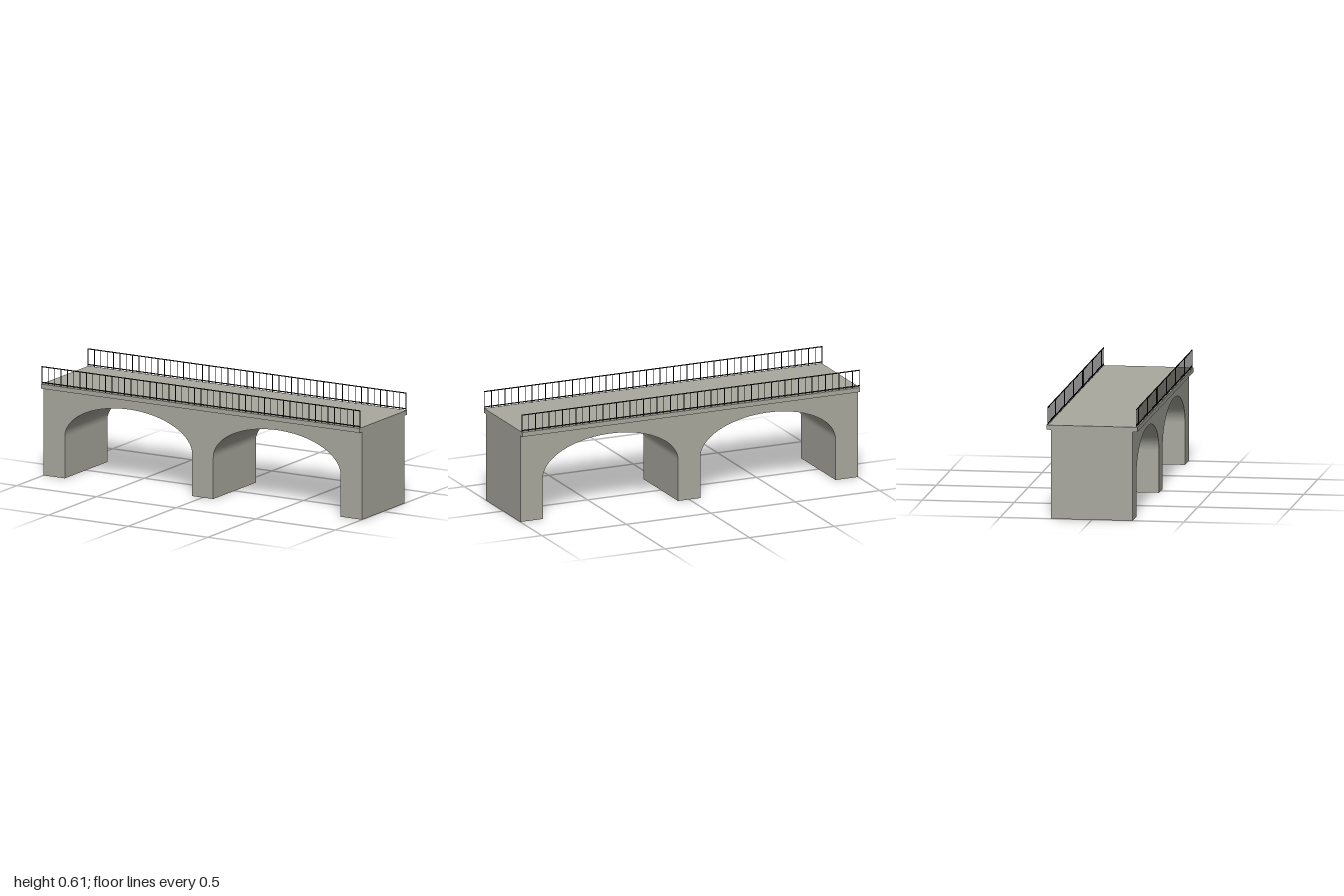
import * as THREE from 'three';

const stone = new THREE.MeshStandardMaterial({ color: 0xaaa99f });
const iron = new THREE.MeshStandardMaterial({ color: 0x1c1c1c });

const BODY_TOP = 0.485, BODY_DEPTH = 0.444;
const DECK_TOP = 0.51, DECK_DEPTH = 0.496;
const SPRING = 0.23, RISE = 0.2, HALF_SPAN = 0.4, ARCH_X = 0.466;

function addBox(parent, name, material, size, position) {
  const mesh = new THREE.Mesh(new THREE.BoxGeometry(...size), material);
  mesh.name = name;
  mesh.position.set(...position);
  parent.add(mesh);
  return mesh;
}

// Wall above one elliptical arch, with the barrel as its underside
function archGeometry() {
  const shape = new THREE.Shape();
  shape.moveTo(HALF_SPAN, SPRING);
  shape.lineTo(HALF_SPAN, BODY_TOP);
  shape.lineTo(-HALF_SPAN, BODY_TOP);
  shape.lineTo(-HALF_SPAN, SPRING);
  shape.absellipse(0, SPRING, HALF_SPAN, RISE, Math.PI, 0, true);
  const geometry = new THREE.ExtrudeGeometry(shape, {
    depth: BODY_DEPTH, bevelEnabled: false, curveSegments: 40,
  });
  return geometry.translate(0, 0, -BODY_DEPTH / 2);
}

// Railing along one edge: two rails and evenly spaced balusters
function createRailing(z) {
  const railing = new THREE.Group();
  railing.name = 'railing';
  const base = DECK_TOP, top = 0.608, count = 51;
  addBox(railing, 'topRail', iron, [2, 0.005, 0.004], [0, top - 0.0025, z]);
  addBox(railing, 'bottomRail', iron, [2, 0.005, 0.004], [0, 0.519, z]);
  for (let i = 0; i < count; i++) {
    const x = -0.998 + (1.996 * i) / (count - 1);
    addBox(railing, 'baluster', iron, [0.003, top - base - 0.002, 0.003], [x, (base + top - 0.002) / 2, z]);
  }
  return railing;
}

export function createModel() {
  const bridge = new THREE.Group();
  bridge.name = 'bridge';

  // End abutments and middle pier
  const inner = ARCH_X - HALF_SPAN, outer = ARCH_X + HALF_SPAN;
  addBox(bridge, 'middlePier', stone, [inner * 2, BODY_TOP, BODY_DEPTH], [0, BODY_TOP / 2, 0]);
  const arch = archGeometry();
  for (const side of [-1, 1]) {
    addBox(bridge, 'abutment', stone, [1 - outer, BODY_TOP, BODY_DEPTH],
      [side * (1 + outer) / 2, BODY_TOP / 2, 0]);
    const span = new THREE.Mesh(arch, stone);
    span.name = 'archSpan';
    span.position.x = side * ARCH_X;
    bridge.add(span);
    bridge.add(createRailing(side * 0.241));
  }

  // Overhanging road deck
  addBox(bridge, 'deck', stone, [2, DECK_TOP - BODY_TOP, DECK_DEPTH], [0, (DECK_TOP + BODY_TOP) / 2, 0]);
  return bridge;
}
